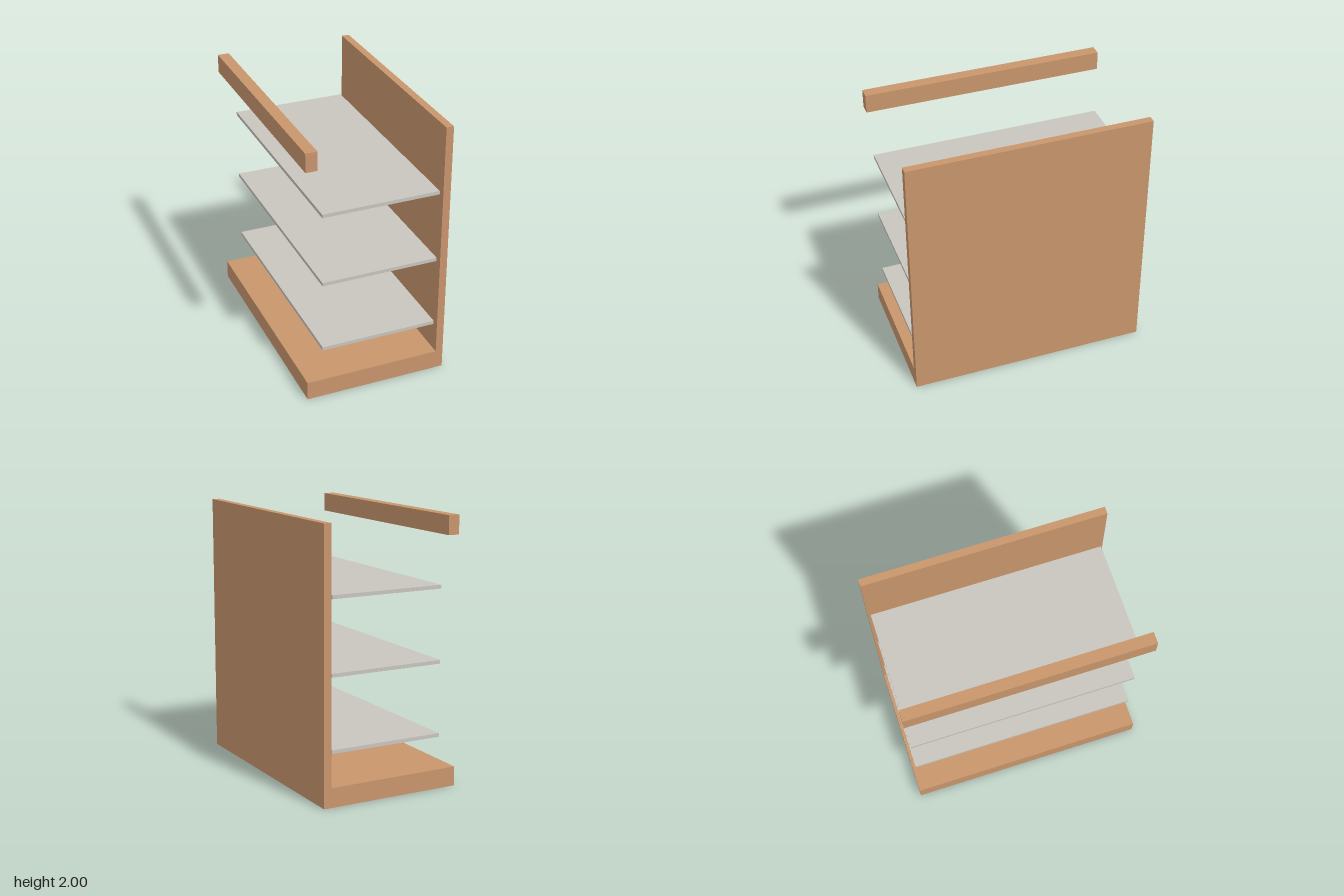
import * as THREE from 'three';

export function createModel() {
  const wood = new THREE.MeshStandardMaterial({ color: 0xc8956c });
  wood.name = 'wood';
  const grey = new THREE.MeshStandardMaterial({ color: 0xc8c4be });
  grey.name = 'shelf grey';

  const model = new THREE.Group();
  model.name = 'shelfUnit';

  const W = 0.545, D = 0.91, H = 2;

  // Box given by its x and y limits and half depth
  const box = (name, material, x0, x1, y0, y1, halfDepth) => {
    const mesh = new THREE.Mesh(new THREE.BoxGeometry(x1 - x0, y1 - y0, halfDepth * 2), material);
    mesh.position.set((x0 + x1) / 2, (y0 + y1) / 2, 0);
    mesh.name = name;
    model.add(mesh);
  };

  // Base and upright panel as one L-shaped profile
  const profile = new THREE.Shape([
    [-W, 0], [W, 0], [W, H], [0.488, H], [0.488, 0.145], [-W, 0.145],
  ].map(([x, y]) => new THREE.Vector2(x, y)));
  const carcass = new THREE.Mesh(
    new THREE.ExtrudeGeometry(profile, { depth: D * 2, bevelEnabled: false }).translate(0, 0, -D),
    wood,
  );
  carcass.name = 'baseAndBackPanel';
  model.add(carcass);

  // Top rail on the open side
  box('topRail', wood, -W, -0.458, 1.858, H, D);

  // Three thin shelves
  [0.385, 0.931, 1.478].forEach((y, i) => {
    box(`shelf${i + 1}`, grey, -0.418, 0.47, y, y + 0.027, 0.89);
  });

  return model;
}
